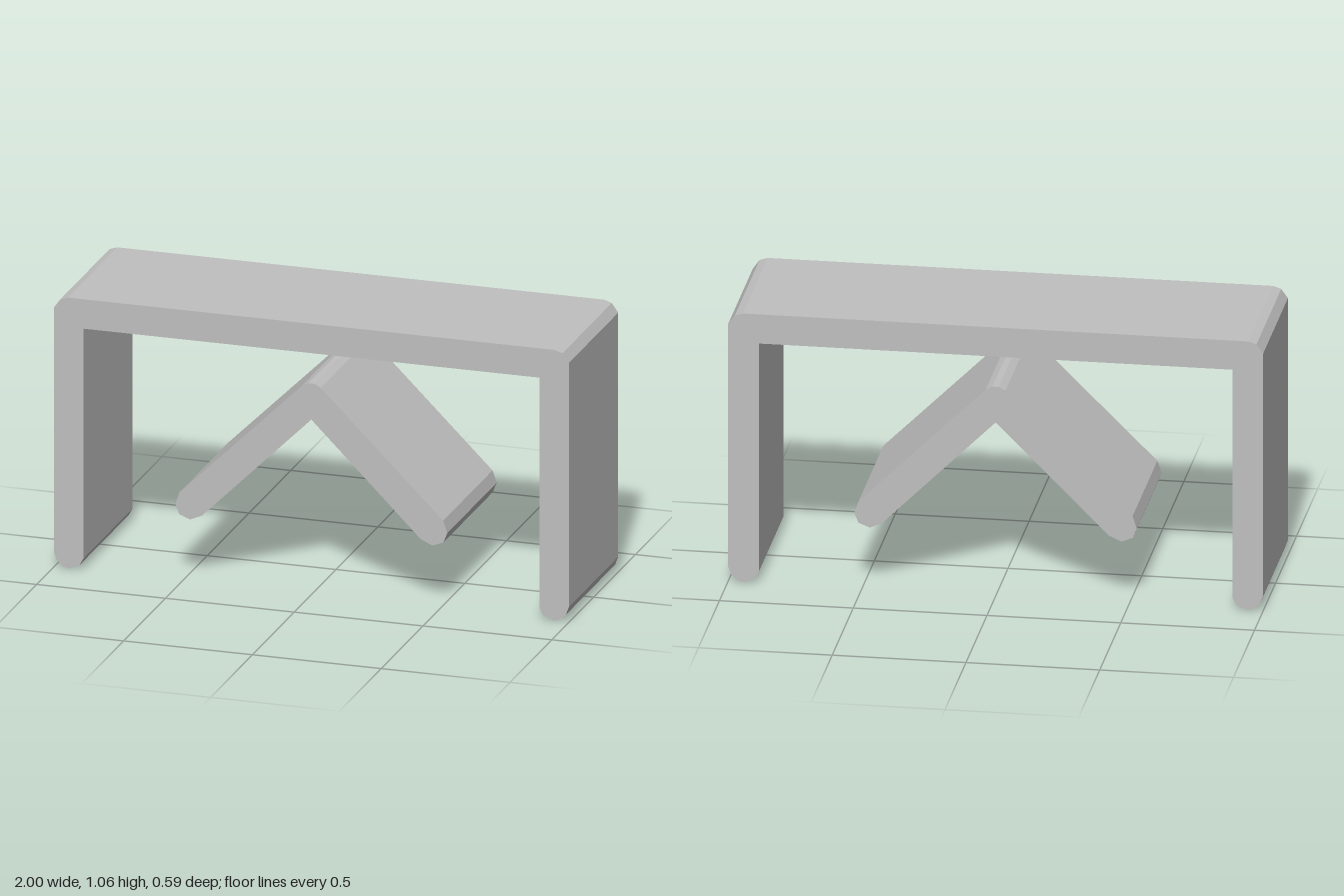
import * as THREE from 'three';

const DEPTH = 0.59;

// Extrudes a closed outline along z, centred on z = 0.
function extrudeOutline(name, points, material) {
  const shape = new THREE.Shape(points.map(([x, y]) => new THREE.Vector2(x, y)));
  const geometry = new THREE.ExtrudeGeometry(shape, { depth: DEPTH, bevelEnabled: false });
  geometry.translate(0, 0, -DEPTH / 2);
  const mesh = new THREE.Mesh(geometry, material);
  mesh.name = name;
  return mesh;
}

// Mirrors a right half outline, leaving out points on the centre line.
const mirrorHalf = (half) => [
  ...half,
  ...half.filter(([x]) => x > 0).reverse().map(([x, y]) => [-x, y]),
];

export function createModel() {
  const group = new THREE.Group();
  group.name = 'bracketModel';
  const grey = new THREE.MeshStandardMaterial({ color: 0xc0c0c0, flatShading: true });
  grey.name = 'light grey';

  // Outer frame: top bar, chamfered corners and two round-ended legs
  const frame = mirrorHalf([
    [0.885, 0.945], [0.885, 0.045], [0.9, 0.018], [0.94, 0],
    [0.962, 0.005], [0.988, 0.028], [1, 0.06],
    [1, 1.015], [0.975, 1.05], [0.945, 1.06],
  ]);
  group.add(extrudeOutline('outerFrame', frame, grey));

  // Inner chevron: two sloping arms with rounded ends
  const chevron = mirrorHalf([
    [0, 0.685], [0.425, 0.263], [0.47, 0.243], [0.513, 0.26],
    [0.528, 0.298], [0.512, 0.345], [0.037, 0.813], [0.012, 0.826],
  ]);
  // The centre point opens the outline, so the mirrored half closes back onto it
  group.add(extrudeOutline('innerChevron', chevron, grey));

  return group;
}
